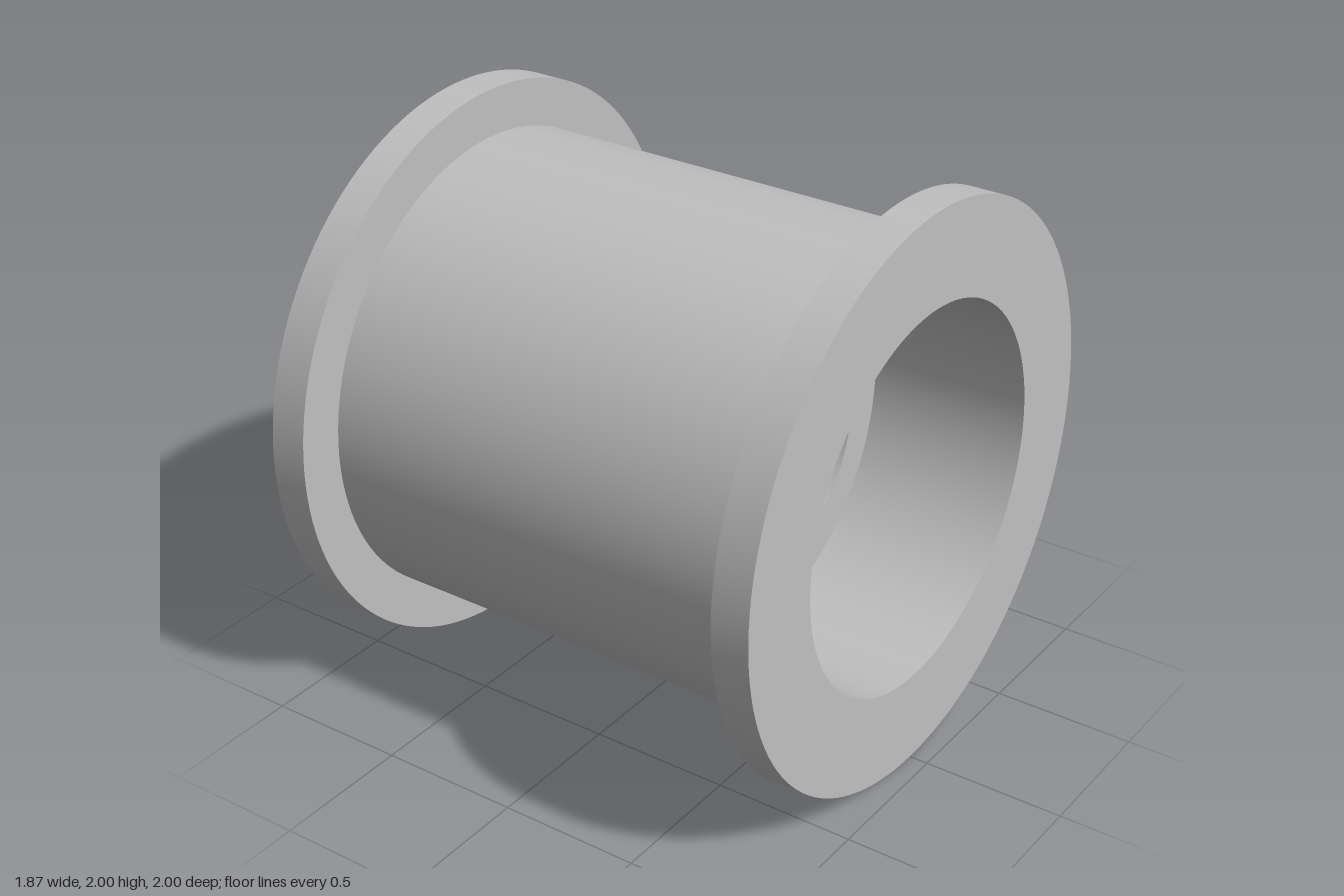
import * as THREE from 'three';
import { toCreasedNormals } from 'three/addons/utils/BufferGeometryUtils.js';

const HALF = 0.933;     // half length
const FLANGE_IN = 0.8;  // inner face of each flange
const STEP = 0.35;      // depth where the bore meets the hub
const HUB = 0.433;      // outer face of the hub

export function createModel() {
  const group = new THREE.Group();
  const steel = new THREE.MeshStandardMaterial({ color: 0xc0c0c0 });
  steel.name = 'grey steel';

  // Revolve a [radius, x] profile around the x axis
  const revolve = (name, profile, mirrored = false) => {
    const points = profile.map(([r, x]) => new THREE.Vector2(r, x));
    const geometry = toCreasedNormals(new THREE.LatheGeometry(points, 128), 0.5);
    geometry.rotateZ(mirrored ? Math.PI / 2 : -Math.PI / 2);
    const mesh = new THREE.Mesh(geometry, steel);
    mesh.name = name;
    mesh.position.y = 1;
    group.add(mesh);
  };

  // Outer barrel between the flanges
  revolve('barrel', [[0.833, -FLANGE_IN], [0.833, FLANGE_IN]]);

  // Each end: flange, bore wall and chamfered hub with its through hole
  for (const [side, mirrored] of [['left', false], ['right', true]]) {
    revolve(side + 'Flange',
      [[0.833, FLANGE_IN], [1, FLANGE_IN], [1, HALF], [0.667, HALF]], mirrored);
    revolve(side + 'Bore', [[0.667, HALF], [0.667, STEP]], mirrored);
    revolve(side + 'Hub',
      [[0.667, STEP], [0.583, STEP], [0.5, HUB], [0.367, HUB], [0.367, 0]], mirrored);
  }
  return group;
}
